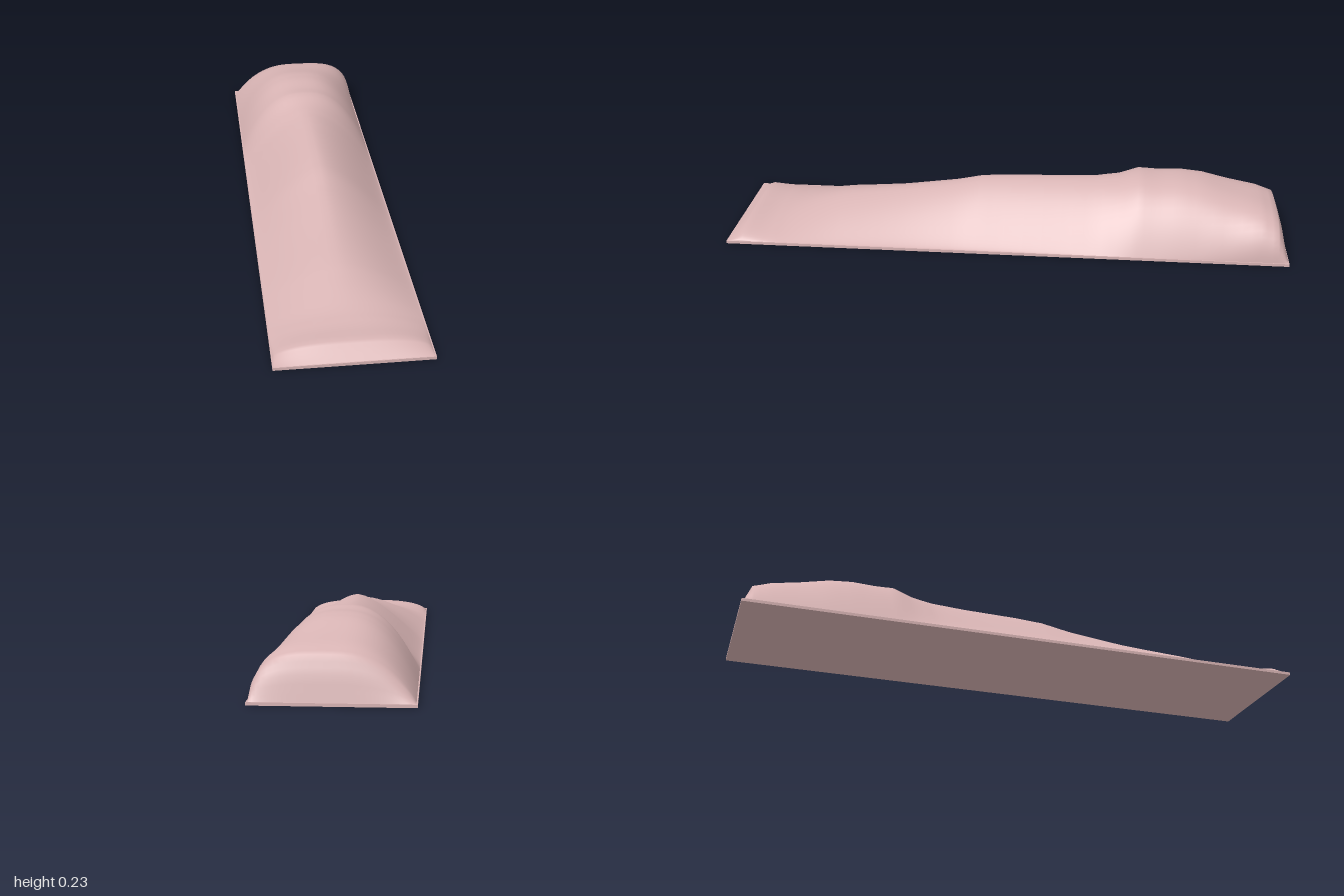
import * as THREE from 'three';

const HALF_WIDTH = 0.246;
const SLAB = 0.01;

// Stations from front to back: z, ridge height, then fullness (p, q) of the
// right-hand (-x) and left-hand (+x) flanks: y = ridge * (1 - u^p)^q
const STATIONS = [
  [0.998, 0.011, 3, 0.6, 3, 0.6],
  [0.97, 0.034, 3, 0.6, 3, 0.6],
  [0.945, 0.053, 3, 0.6, 3, 0.6],
  [0.87, 0.05, 2.4, 0.8, 2.4, 0.8],
  [0.8, 0.06, 2, 1, 2, 1],
  [0.7, 0.088, 1.8, 1.1, 1.8, 1.1],
  [0.6, 0.111, 1.7, 1.1, 1.7, 1.15],
  [0.4, 0.135, 1.6, 1.15, 1.6, 1.2],
  [0.2, 0.166, 1.6, 1.2, 1.6, 1.2],
  [0.1, 0.188, 1.6, 1.2, 1.6, 1.2],
  [0, 0.195, 1.6, 1.2, 1.6, 1.2],
  [-0.2, 0.2, 1.6, 1.2, 1.7, 1.15],
  [-0.32, 0.204, 1.7, 1.18, 1.8, 1.1],
  [-0.4, 0.21, 2, 1.1, 2.1, 1.05],
  [-0.47, 0.228, 2.4, 1.02, 2.4, 1],
  [-0.54, 0.221, 2.6, 1, 2.6, 1],
  [-0.62, 0.225, 2.6, 1, 2.6, 0.95],
  [-0.7, 0.217, 2.6, 1, 2.7, 0.9],
  [-0.8, 0.191, 2.6, 1, 3.1, 0.75],
  [-0.9, 0.17, 2.5, 0.95, 3.8, 0.55],
  [-0.96, 0.146, 2.4, 0.9, 4, 0.5],
  [-0.98, 0.09, 2.4, 0.9, 4, 0.5],
  [-0.998, 0.011, 2.4, 0.9, 4, 0.5],
];

// Smooth mound lofted over the stations
function moundGeometry(columns = 28, stepsBetween = 3) {
  const rows = [];
  STATIONS.forEach((s, i) => {
    const next = STATIONS[i + 1];
    if (!next) return rows.push(s);
    for (let k = 0; k < stepsBetween; k++) {
      rows.push(s.map((v, j) => THREE.MathUtils.lerp(v, next[j], k / stepsBetween)));
    }
  });
  const positions = [];
  const indices = [];
  rows.forEach(([z, ridge, pR, qR, pL, qL], r) => {
    for (let c = 0; c <= columns; c++) {
      const t = -Math.cos((Math.PI * c) / columns); // finer steps near the edges
      const u = Math.min(1, Math.abs(t));
      const [p, q] = t < 0 ? [pR, qR] : [pL, qL];
      const y = SLAB + (ridge - SLAB) * Math.pow(1 - Math.pow(u, p), q);
      positions.push(t * HALF_WIDTH, y, z);
      if (r < rows.length - 1 && c < columns) {
        const a = r * (columns + 1) + c;
        const d = a + columns + 1;
        indices.push(a, a + 1, d, a + 1, d + 1, d);
      }
    }
  });
  const geometry = new THREE.BufferGeometry();
  geometry.setAttribute('position', new THREE.Float32BufferAttribute(positions, 3));
  geometry.setIndex(indices);
  geometry.computeVertexNormals();
  return geometry;
}

export function createModel() {
  const model = new THREE.Group();
  model.name = 'drapedMound';
  const material = new THREE.MeshStandardMaterial({ color: 0xd8b4b4 });

  // Thin flat base
  const base = new THREE.Mesh(new THREE.BoxGeometry(0.5, SLAB, 2), material);
  base.name = 'base';
  base.position.y = SLAB / 2;
  model.add(base);

  // Draped surface
  const drape = new THREE.Mesh(moundGeometry(), material);
  drape.name = 'drape';
  model.add(drape);

  return model;
}
